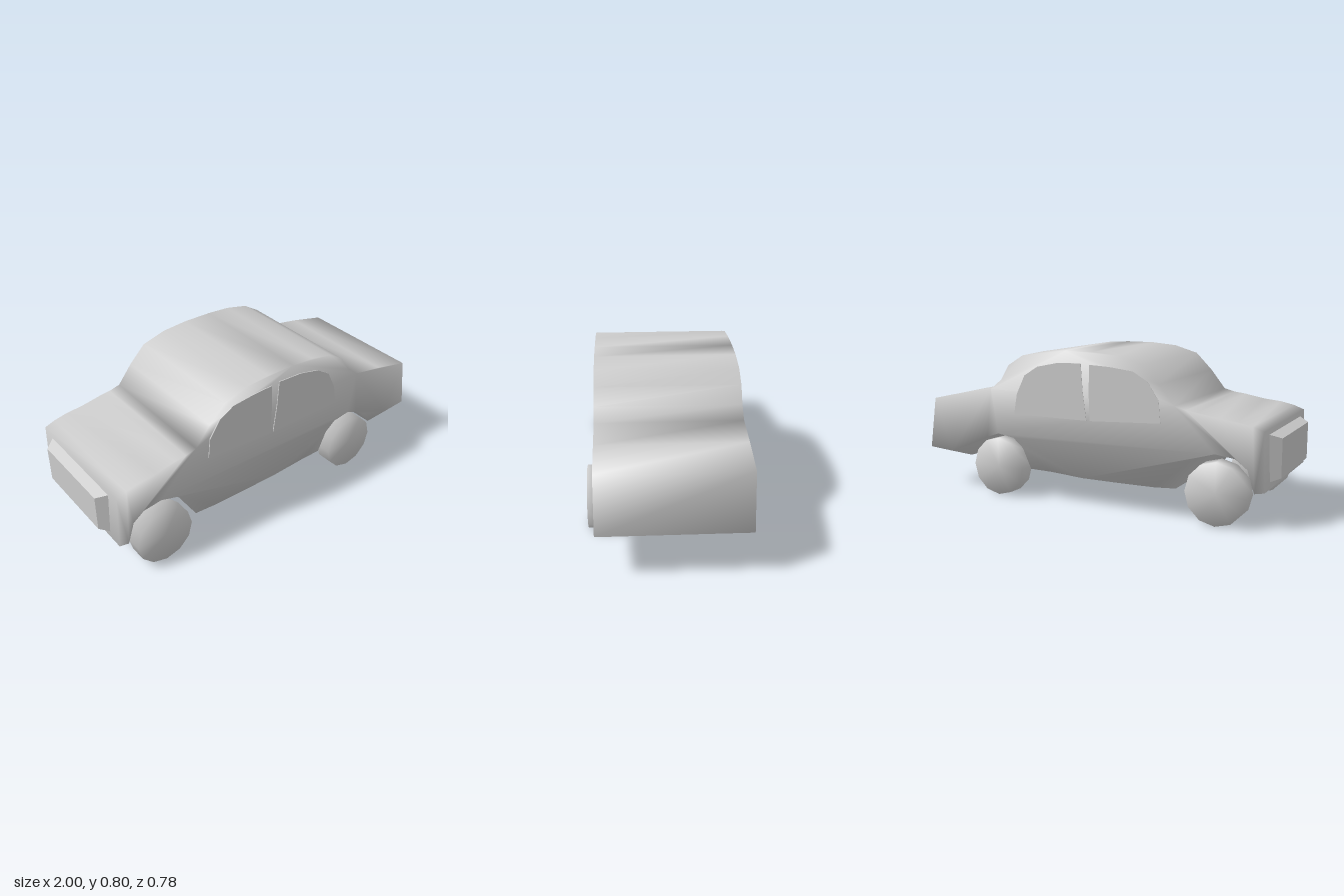
import * as THREE from 'three';
import { mergeVertices } from 'three/addons/utils/BufferGeometryUtils.js';

const material = new THREE.MeshStandardMaterial({ color: 0xcccccc });

// Weld all corners so that shading flows softly over every edge
function soften(geometry) {
  geometry.deleteAttribute('uv');
  geometry.deleteAttribute('normal');
  const welded = mergeVertices(geometry, 1e-4);
  welded.computeVertexNormals();
  return welded;
}

// Extrude an x-y outline between two z positions
function slab(points, z0, z1) {
  const shape = new THREE.Shape(points.map(([x, y]) => new THREE.Vector2(x, y)));
  return new THREE.ExtrudeGeometry(shape, { depth: z1 - z0, bevelEnabled: false })
    .translate(0, 0, z0);
}

export function createModel() {
  const car = new THREE.Group();
  car.name = 'car';
  const add = (name, geometry) => {
    const mesh = new THREE.Mesh(geometry, material);
    mesh.name = name;
    car.add(mesh);
    return mesh;
  };

  const zBack = -0.365, zFront = 0.348;

  // Body: side profile with open wheel arches, from nose over roof to tail and back underneath
  const profile = [
    [-0.955, 0.19], [-0.945, 0.475], [-0.89, 0.495], [-0.82, 0.51], [-0.73, 0.518],
    [-0.62, 0.538], [-0.56, 0.545], [-0.50, 0.56], [-0.42, 0.66], [-0.33, 0.75],
    [-0.20, 0.788], [-0.06, 0.80], [0.10, 0.80], [0.23, 0.792], [0.36, 0.765],
    [0.45, 0.71], [0.50, 0.63], [0.57, 0.575], [0.75, 0.545], [0.955, 0.50],
    [0.997, 0.218], [0.85, 0.207], [0.71, 0.198],
    [0.66, 0.27], [0.60, 0.31], [0.53, 0.335], [0.43, 0.32], [0.37, 0.27],
    [0.32, 0.162], [0.20, 0.16], [0.0, 0.148], [-0.20, 0.148], [-0.40, 0.15], [-0.515, 0.158],
    [-0.61, 0.318], [-0.71, 0.348], [-0.81, 0.335], [-0.87, 0.29], [-0.905, 0.18],
  ];
  add('body', soften(slab(profile, zBack, zFront)));

  // Window panels standing slightly proud of both sides, with the pillar gap between them
  const windows = {
    frontWindow: [[-0.43, 0.47], [-0.42, 0.58], [-0.36, 0.67], [-0.28, 0.715],
      [-0.15, 0.73], [-0.04, 0.735], [-0.035, 0.6], [-0.04, 0.45]],
    rearWindow: [[-0.02, 0.45], [0.0, 0.6], [0.01, 0.74], [0.15, 0.735], [0.27, 0.71],
      [0.35, 0.66], [0.40, 0.56], [0.42, 0.45]],
  };
  for (const [name, outline] of Object.entries(windows)) {
    add(name + 'Near', slab(outline, zFront - 0.01, zFront + 0.005));
    add(name + 'Far', slab(outline, zBack - 0.002, zBack + 0.01));
  }

  // Grille: box tapering toward the nose
  const grille = new THREE.BoxGeometry(0.08, 0.25, 0.60);
  const p = grille.attributes.position;
  for (let i = 0; i < p.count; i++) {
    if (p.getX(i) < 0) p.setXYZ(i, -0.04, p.getY(i) * 0.76, p.getZ(i) * 0.8);
  }
  grille.computeVertexNormals();
  add('grille', grille).position.set(-0.958, 0.335, -0.01);

  // Wheels: twelve-sided discs with softly shaded rims
  const wheel = soften(new THREE.CylinderGeometry(0.156, 0.156, 0.089, 12).rotateX(Math.PI / 2));
  for (const [end, x] of [['front', -0.725], ['rear', 0.515]]) {
    for (const [side, z] of [['Near', 0.345], ['Far', -0.344]]) {
      add(end + 'Wheel' + side, wheel).position.set(x, 0.16, z);
    }
  }

  // Settle the tyres on the ground
  car.position.y = -0.004;
  return car;
}
